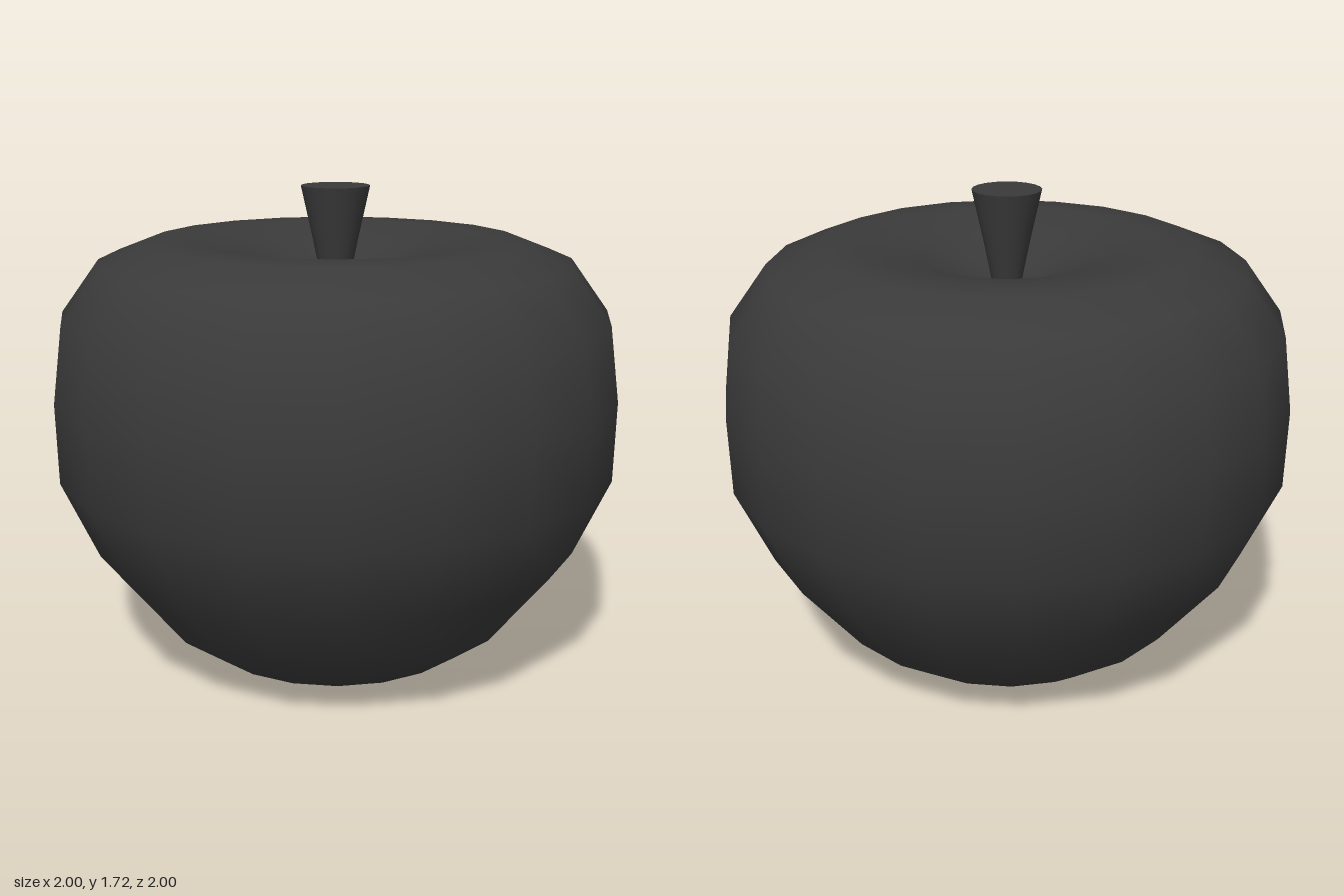
import * as THREE from 'three';

const SEGMENTS = 20;

// Revolves a list of [radius, height] points around the y axis, bottom to top
function lathe(name, points, material) {
  const profile = points.map(([r, y]) => new THREE.Vector2(r, y));
  const mesh = new THREE.Mesh(new THREE.LatheGeometry(profile, SEGMENTS), material);
  mesh.name = name;
  return mesh;
}

export function createModel() {
  const group = new THREE.Group();
  group.name = 'apple';
  const material = new THREE.MeshStandardMaterial({ color: 0x3a3a3a });

  // Rounded body with a shallow hollow around the stem
  group.add(lathe('body', [
    [0, 0.01], [0.28, 0], [0.5, 0.07], [0.65, 0.18], [0.87, 0.46],
    [0.995, 0.74], [1, 1.02], [0.965, 1.28], [0.83, 1.465], [0.65, 1.535],
    [0.52, 1.54], [0.3, 1.49], [0.12, 1.415], [0, 1.405],
  ], material));

  // Stem flaring towards the top
  group.add(lathe('stem', [
    [0.05, 1.39], [0.058, 1.43], [0.08, 1.54], [0.12, 1.72],
  ], material));

  // Flat cut end of the stem
  const cap = new THREE.Mesh(new THREE.CircleGeometry(0.12, SEGMENTS), material);
  cap.name = 'stemTop';
  cap.rotation.x = -Math.PI / 2;
  cap.position.y = 1.72;
  group.add(cap);

  return group;
}
